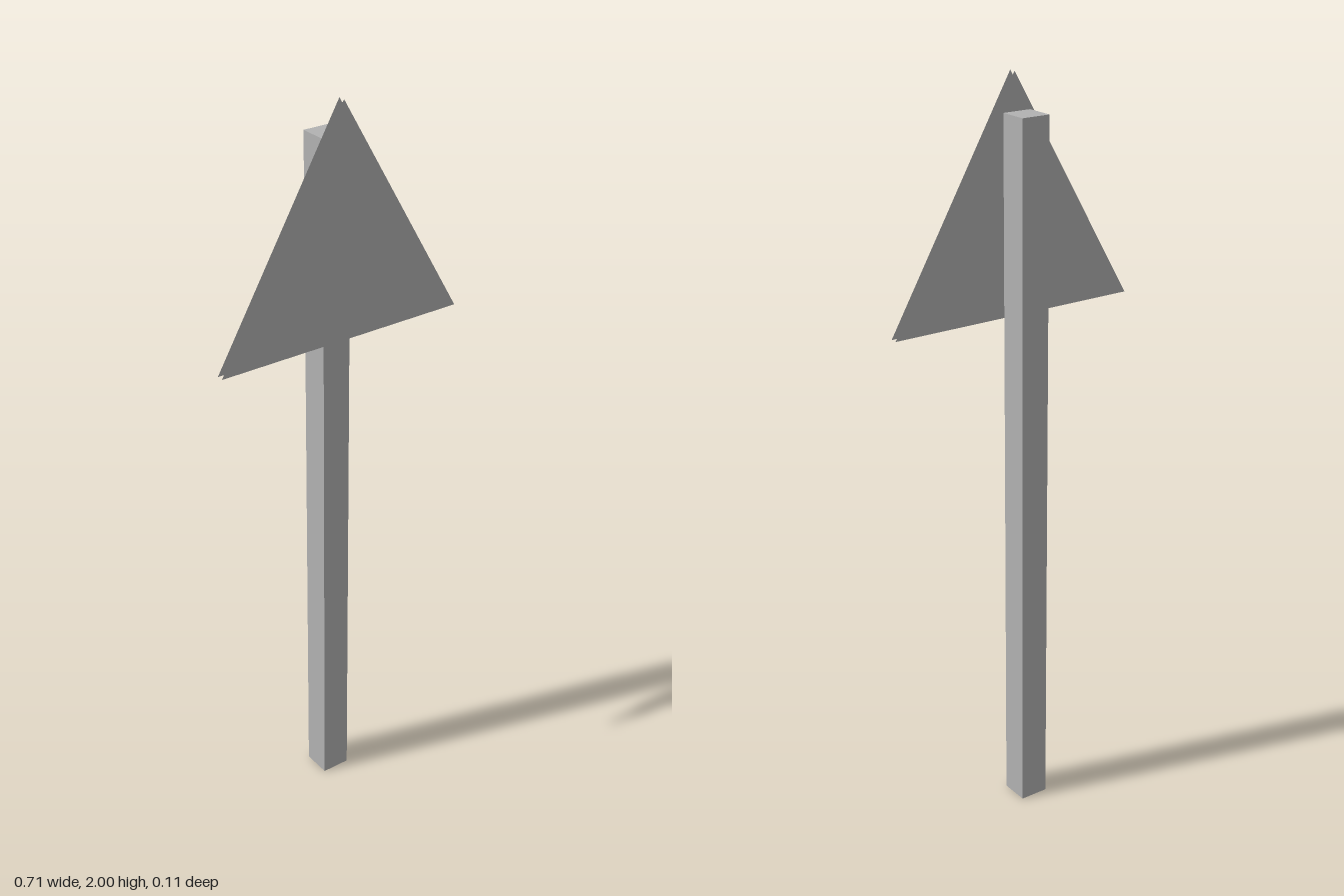
import * as THREE from 'three';

export function createModel() {
  const model = new THREE.Group();
  model.name = 'signPost';

  const grey = new THREE.MeshStandardMaterial({ color: 0xb2b2b2, side: THREE.DoubleSide });
  grey.name = 'grey';

  // Square post, set slightly behind the centre
  const post = new THREE.Mesh(new THREE.BoxGeometry(0.079, 1.905, 0.079), grey);
  post.name = 'post';
  post.position.set(0, 1.905 / 2, -0.0135);
  model.add(post);

  // Triangular sign: a front and a back sheet with open edges
  const triangle = new THREE.Shape([
    new THREE.Vector2(-0.354, 1.387),
    new THREE.Vector2(0.354, 1.387),
    new THREE.Vector2(0, 2),
  ]);
  const sheet = new THREE.ShapeGeometry(triangle);
  for (const [name, z, turn] of [['signFront', 0.053, 0], ['signBack', 0.035, Math.PI]]) {
    const mesh = new THREE.Mesh(sheet, grey);
    mesh.name = name;
    mesh.position.z = z;
    mesh.rotation.y = turn;
    model.add(mesh);
  }

  return model;
}
